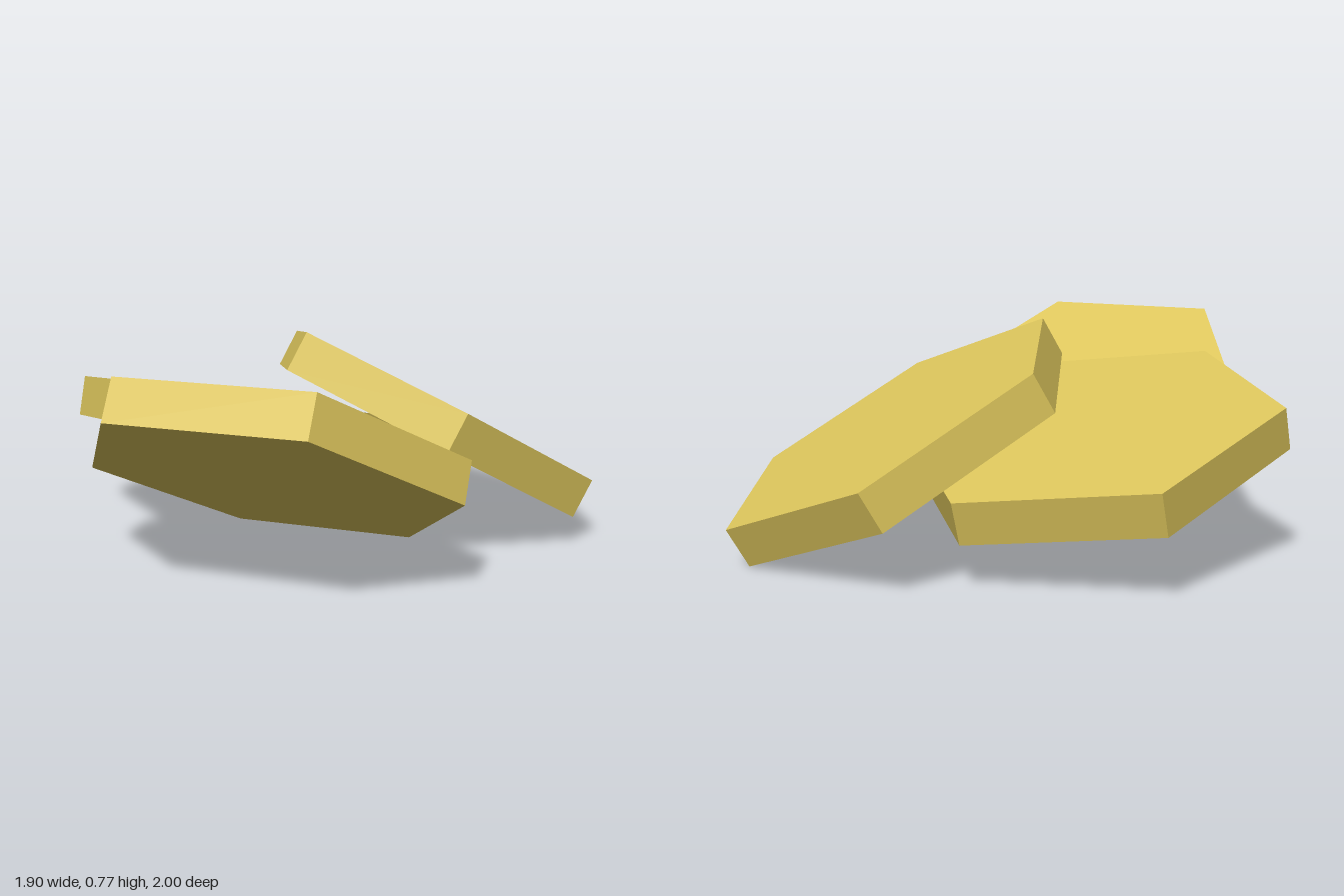
import * as THREE from 'three';

const RADIUS = 0.66, APOTHEM = 0.59, THICKNESS = 0.148;

// Hexagonal slab: top face centred at the origin, corners on +-x, flat sides on +-z
function hexGeometry() {
  const g = new THREE.CylinderGeometry(RADIUS, RADIUS, THICKNESS, 6);
  g.rotateY(Math.PI / 2);
  g.translate(0, -THICKNESS / 2, 0);
  g.scale(1, 1, APOTHEM / (RADIUS * Math.cos(Math.PI / 6)));
  return g;
}

export function createModel() {
  const group = new THREE.Group();
  group.name = 'hexagonTiles';
  const gold = new THREE.MeshStandardMaterial({ color: 0xdcc55c, flatShading: true });
  gold.name = 'gold';
  const geometry = hexGeometry();

  // Each tile: centre of its top face, direction to a corner, direction to a flat side
  const tiles = [
    { name: 'frontTile', centre: [0.015, 0.453, 0.416], corner: [1, 0, 0], side: [0, 0.5, 0.866] },
    { name: 'rightTile', centre: [-0.305, 0.465, -0.147], corner: [0.64, -0.07, -0.145], side: [0.133, 0.14, 0.558] },
    { name: 'leftTile', centre: [0.337, 0.453, -0.39], corner: [0.6125, -0.2175, 0.12], side: [-0.034, 0.2125, 0.55] },
  ];

  for (const t of tiles) {
    const u = new THREE.Vector3(...t.corner).normalize();
    const n = new THREE.Vector3(...t.side).cross(u).normalize();
    const v = new THREE.Vector3().crossVectors(u, n);
    const mesh = new THREE.Mesh(geometry, gold);
    mesh.name = t.name;
    mesh.quaternion.setFromRotationMatrix(new THREE.Matrix4().makeBasis(u, n, v));
    mesh.position.set(...t.centre);
    group.add(mesh);
  }
  return group;
}
